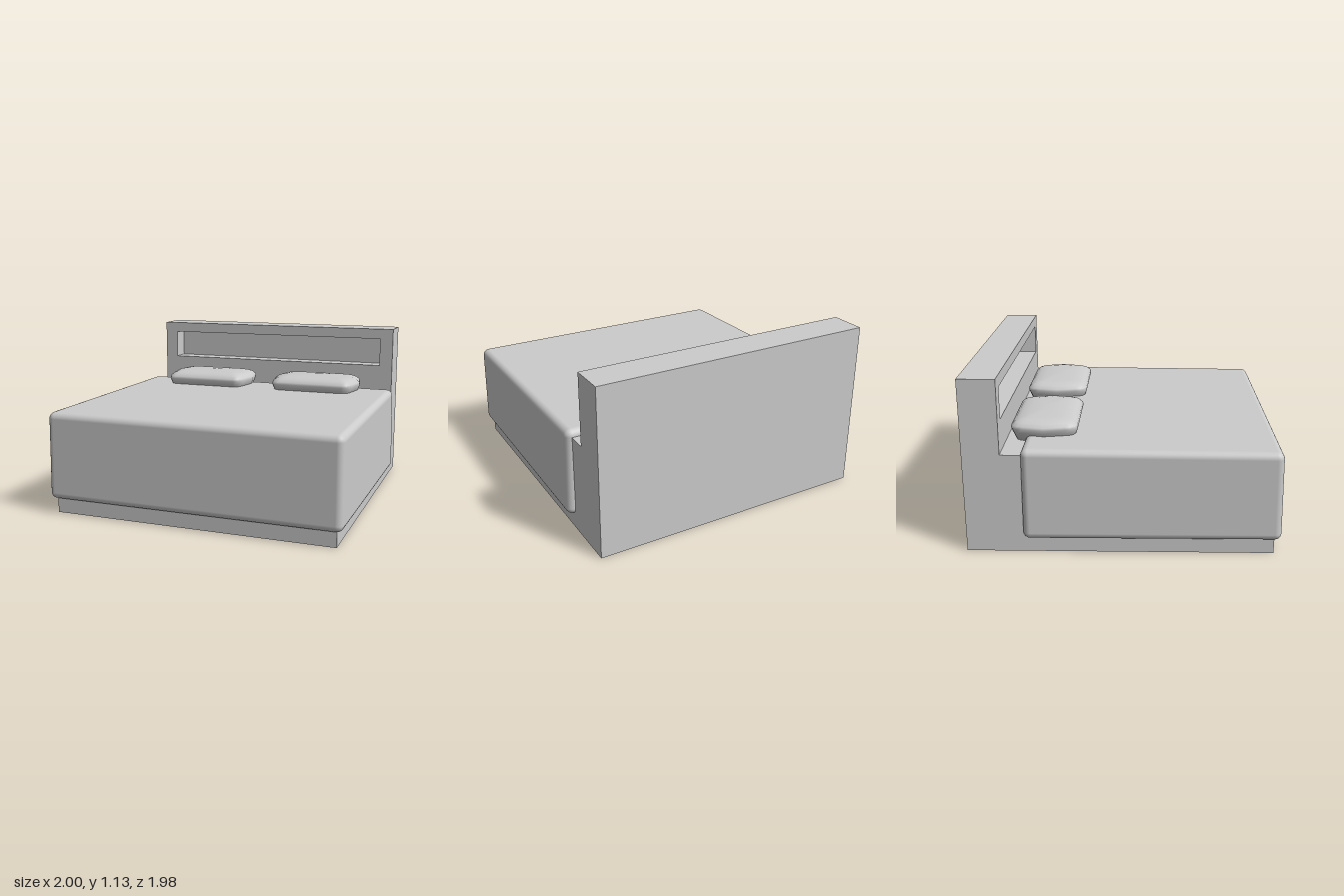
import * as THREE from 'three';
import { RoundedBoxGeometry } from 'three/addons/geometries/RoundedBoxGeometry.js';

const material = new THREE.MeshStandardMaterial({ color: 0xcccccc });

function add(parent, name, geometry, x = 0, y = 0, z = 0) {
  const mesh = new THREE.Mesh(geometry, material);
  mesh.name = name;
  mesh.position.set(x, y, z);
  parent.add(mesh);
  return mesh;
}

// Rectangle corners, used for the headboard face and its recess
function rectangle(ShapeClass, x, y0, y1) {
  const shape = new ShapeClass();
  shape.moveTo(-x, y0);
  shape.lineTo(x, y0);
  shape.lineTo(x, y1);
  shape.lineTo(-x, y1);
  shape.closePath();
  return shape;
}

// Rounded cover that narrows towards the top and the foot end
function blanketGeometry() {
  const h = 0.595, d = 1.62;
  const geometry = new RoundedBoxGeometry(2, h, d, 3, 0.045);
  const p = geometry.attributes.position;
  for (let i = 0; i < p.count; i++) {
    const up = p.getY(i) / h + 0.5;
    const foot = p.getZ(i) / d + 0.5;
    p.setX(i, p.getX(i) * (1 - 0.013 * up - 0.009 * foot * (1 - up)));
    p.setY(i, p.getY(i) - 0.012 * up * foot);
    p.setZ(i, p.getZ(i) - 0.012 * up * foot);
  }
  return geometry;
}

// Pillow: bulging outline stacked in rings, closed at both ends
function pillowGeometry() {
  const hx = 0.333, hz = 0.215;
  const quarter = [[0.333, 0], [0.305, 0.14], [0.298, 0.172], [0.28, 0.2], [0.245, 0.215], [0.1, 0.215]];
  const outline = [
    ...quarter,
    ...quarter.slice(1).reverse().map(([x, z]) => [-x, z]),
    ...quarter.map(([x, z]) => [-x, -z]),
    ...quarter.slice(1).reverse().map(([x, z]) => [x, -z]),
  ];
  // Height and inset of each ring
  const rings = [[0.65, 0.03], [0.71, 0.008], [0.735, 0], [0.752, 0.004],
    [0.772, 0.025], [0.784, 0.055], [0.793, 0.105]];
  const n = outline.length;
  const positions = [], index = [];
  for (const [y, inset] of rings) {
    for (const [x, z] of outline) positions.push(x * (1 - inset / hx), y, z * (1 - inset / hz));
  }
  const bottom = rings.length * n, top = bottom + 1;
  positions.push(0, 0.65, 0, 0, 0.8, 0);
  const last = (rings.length - 1) * n;
  for (let i = 0; i < n; i++) {
    const j = (i + 1) % n;
    for (let r = 0; r < last; r += n) {
      index.push(r + i, r + n + i, r + j, r + j, r + n + i, r + n + j);
    }
    index.push(bottom, i, j, top, last + j, last + i);
  }
  const geometry = new THREE.BufferGeometry();
  geometry.setAttribute('position', new THREE.Float32BufferAttribute(positions, 3));
  geometry.setIndex(index);
  geometry.computeVertexNormals();
  return geometry;
}

export function createModel() {
  const bed = new THREE.Group();
  bed.name = 'bed';

  // Solid base under the cover
  add(bed, 'base', new THREE.BoxGeometry(1.9, 0.65, 1.705), 0, 0.325, 0.0975);

  // Headboard: back slab plus a front frame around the long recess
  const headboard = new THREE.Group();
  headboard.name = 'headboard';
  bed.add(headboard);
  add(headboard, 'headboardBack', new THREE.BoxGeometry(1.9, 1.13, 0.1), 0, 0.565, -0.94);
  const face = rectangle(THREE.Shape, 0.95, 0, 1.13);
  face.holes.push(rectangle(THREE.Path, 0.853, 0.85, 1.055));
  const frame = new THREE.ExtrudeGeometry(face, { depth: 0.135, bevelEnabled: false });
  add(headboard, 'headboardFrame', frame, 0, 0, -0.89);

  add(bed, 'blanket', blanketGeometry(), 0, 0.3975, 0.183);

  // Pair of pillows
  const pillow = pillowGeometry();
  add(bed, 'leftPillow', pillow, 0.423, 0, -0.508);
  add(bed, 'rightPillow', pillow, -0.423, 0, -0.508);

  return bed;
}
